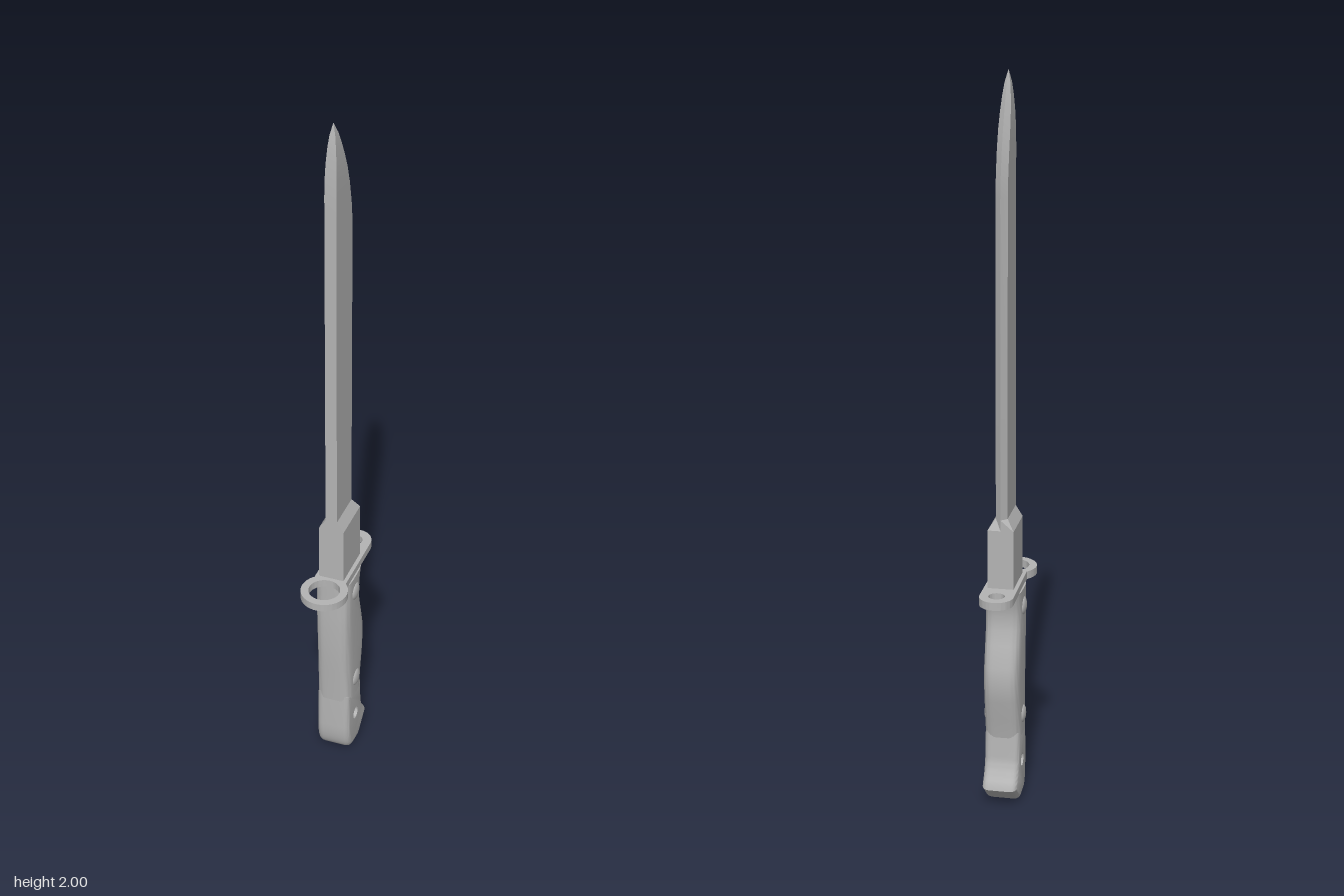
import * as THREE from 'three';
import { toCreasedNormals } from 'three/addons/utils/BufferGeometryUtils.js';

// Skin a stack of rings (each running from +x towards +z) and cap both ends.
function loft(rings, crease) {
  const n = rings[0].length, last = (rings.length - 1) * n, index = [];
  for (let i = 0; i < last; i += n) {
    for (let j = 0; j < n; j++) {
      const a = i + j, b = i + (j + 1) % n;
      index.push(a, a + n, b + n, a, b + n, b);
    }
  }
  for (let j = 1; j < n - 1; j++) {
    index.push(0, j, j + 1, last, last + j + 1, last + j);
  }
  const geo = new THREE.BufferGeometry();
  geo.setAttribute('position', new THREE.Float32BufferAttribute(rings.flat(2), 3));
  geo.setIndex(index);
  return toCreasedNormals(geo, crease);
}

function circleHole(x, y, r) {
  return new THREE.Path().absarc(x, y, r, 0, Math.PI * 2, true);
}

export function createModel() {
  const group = new THREE.Group();
  const steel = new THREE.MeshStandardMaterial({ color: 0xb4b4b4 });
  steel.name = 'grey steel';
  const add = (name, geo) => {
    const mesh = new THREE.Mesh(geo, steel);
    mesh.name = name;
    group.add(mesh);
    return mesh;
  };

  // Blade with its thick base: y, cutting edge z, bevel z, spine z, half thickness
  const blade = [
    [0.62, -0.073, -0.073, 0.057, 0.035],
    [0.80, -0.073, -0.073, 0.057, 0.035],
    [0.83, -0.073, -0.056, 0.057, 0.016],
    [1.69, -0.073, -0.056, 0.057, 0.016],
    [1.75, -0.066, -0.049, 0.057, 0.016],
    [1.81, -0.053, -0.036, 0.057, 0.016],
    [1.86, -0.037, -0.021, 0.055, 0.0155],
    [1.90, -0.021, -0.006, 0.052, 0.014],
    [1.94, -0.003, 0.009, 0.048, 0.011],
    [1.97, 0.013, 0.021, 0.043, 0.0075],
    [2.00, 0.034, 0.035, 0.036, 0.0005],
  ];
  add('blade', loft(blade.map(([y, edge, bevel, spine, t]) => [
    [0, y, edge], [t, y, bevel], [t, y, spine], [-t, y, spine], [-t, y, bevel],
  ]), 0.25));

  // Cross guard with a large front ring and a small rear ring
  const outline = new THREE.Shape();
  outline.absarc(0, -0.111, 0.064, Math.PI * 0.75, Math.PI * 2.25, false);
  outline.absarc(0, 0.129, 0.046, 0, Math.PI, false);
  outline.closePath();
  outline.holes.push(circleHole(0, -0.111, 0.043), circleHole(0, 0.127, 0.022));
  const guard = new THREE.ExtrudeGeometry(outline, { depth: 0.022, bevelEnabled: false, curveSegments: 32 });
  guard.rotateX(-Math.PI / 2);
  guard.translate(0, 0.615, 0);
  add('crossGuard', toCreasedNormals(guard, 0.6));

  // Grip: y, back z, front z, with rounded-rectangle sections
  const grip = [
    [0.195, -0.058, 0.050], [0.25, -0.068, 0.053], [0.31, -0.083, 0.057],
    [0.36, -0.090, 0.060], [0.41, -0.086, 0.062], [0.47, -0.068, 0.063],
    [0.51, -0.056, 0.063], [0.55, -0.053, 0.062], [0.58, -0.058, 0.062], [0.617, -0.069, 0.062],
  ];
  const soft = (v) => Math.sign(v) * Math.abs(v) ** 0.5;
  add('grip', loft(grip.map(([y, back, front]) => Array.from({ length: 40 }, (_, j) => {
    const a = (j / 40) * Math.PI * 2;
    return [0.05 * soft(Math.cos(a)), y, (front + back) / 2 + (front - back) / 2 * soft(Math.sin(a))];
  })), 0.7));

  // Domed rivets on both sides of the grip
  for (const [y, z] of [[0.565, 0], [0.25, -0.007]]) {
    for (const side of [-1, 1]) {
      const rivet = add(side > 0 ? 'leftRivet' : 'rightRivet', new THREE.SphereGeometry(0.026, 20, 12));
      rivet.scale.x = 0.4;
      rivet.position.set(side * 0.047, y, z);
    }
  }

  // Beaked pommel with rounded edges, drawn from the side
  const side = new THREE.Shape();
  side.moveTo(-0.048, 0.215);
  side.lineTo(-0.051, 0.10);
  side.quadraticCurveTo(-0.051, 0.012, -0.015, 0.008);
  side.lineTo(0.035, 0.003);
  side.lineTo(0.048, 0.010);
  side.lineTo(0.101, 0.055);
  side.lineTo(0.096, 0.072);
  side.quadraticCurveTo(0.064, 0.105, 0.062, 0.14);
  side.lineTo(0.056, 0.215);
  side.closePath();
  const hx = 0.01, hy = 0.113, hr = 0.018;
  side.holes.push(circleHole(hx, hy, hr));
  const pommel = new THREE.ExtrudeGeometry(side, {
    depth: 0.058, bevelThickness: 0.019, bevelSize: 0.015, bevelOffset: -0.015, bevelSegments: 4, curveSegments: 10,
  });
  // Keep the cross hole straight through the rounded edges
  const p = pommel.attributes.position;
  for (let i = 0; i < p.count; i++) {
    const dx = p.getX(i) - hx, dy = p.getY(i) - hy, d = Math.hypot(dx, dy);
    if (d < 0.035) p.setXY(i, hx + dx / d * hr, hy + dy / d * hr);
  }
  pommel.translate(0, 0, -0.029);
  pommel.rotateY(Math.PI / 2);
  add('pommel', toCreasedNormals(pommel, 0.6));

  return group;
}
